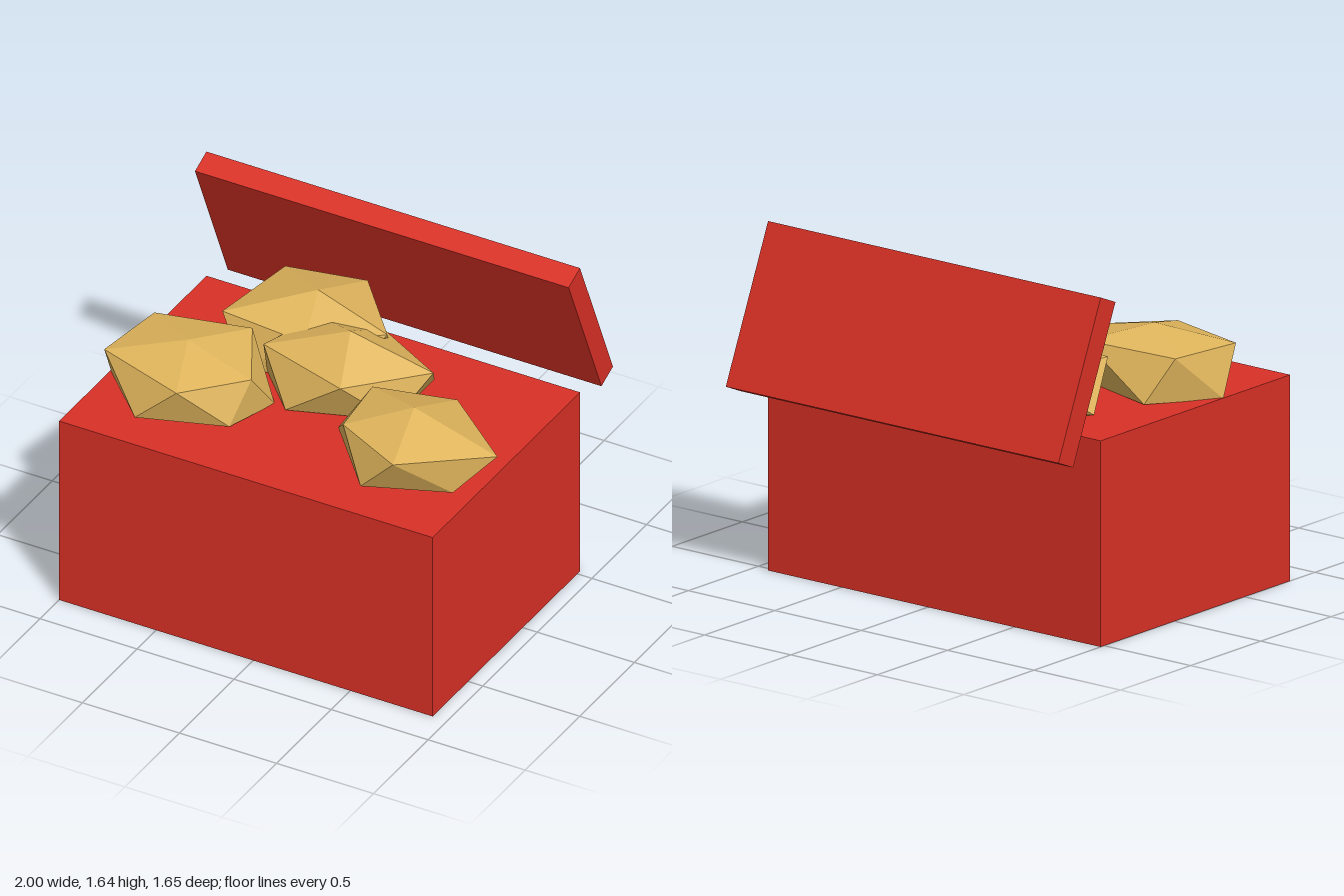
import * as THREE from 'three';

const red = new THREE.MeshStandardMaterial({ name: 'red', color: 0xd93025 });
const gold = new THREE.MeshStandardMaterial({ name: 'gold', color: 0xdfb45b, flatShading: true });

// Squashed, irregular icosahedron: an apex, two staggered rings of five and a base point.
// Rings run clockwise seen from above; lower[i] sits between upper[i] and upper[i + 1].
function createNugget(name, top, upper, lower, bottom) {
  const corners = [];
  for (let i = 0; i < 5; i++) {
    const j = (i + 1) % 5;
    corners.push(top, upper[j], upper[i]);
    corners.push(upper[i], upper[j], lower[i]);
    corners.push(lower[i], upper[j], lower[j]);
    corners.push(bottom, lower[i], lower[j]);
  }
  const geometry = new THREE.BufferGeometry();
  geometry.setAttribute('position', new THREE.Float32BufferAttribute(corners.flat(), 3));
  geometry.computeVertexNormals();
  const mesh = new THREE.Mesh(geometry, gold);
  mesh.name = name;
  return mesh;
}

export function createModel() {
  const model = new THREE.Group();
  model.name = 'treasureBox';

  // Solid box body
  const body = new THREE.Mesh(new THREE.BoxGeometry(1.925, 0.965, 1.35), red);
  body.name = 'boxBody';
  body.position.set(-0.0375, 0.4825, 0.15);
  model.add(body);

  // Open lid, leaning forward behind the box
  const lid = new THREE.Mesh(new THREE.BoxGeometry(1.925, 0.768, 0.114), red);
  lid.name = 'lid';
  lid.position.set(-0.0375, 1.26, -0.6225);
  lid.rotation.x = 0.403;
  model.add(lid);

  // Gold nuggets, partly sunk into the top
  model.add(createNugget('frontRightNugget', [-0.61, 1.25, 0.34],
    [[-0.26, 1.17, 0.38], [-0.5, 1.17, 0.64], [-0.95, 1.18, 0.5], [-0.9, 1.18, 0.13], [-0.44, 1.2, 0.05]],
    [[-0.3, 0.98, 0.51], [-0.7, 0.99, 0.665], [-0.995, 0.96, 0.355], [-0.8, 0.97, 0.03], [-0.23, 0.96, 0.22]],
    [-0.6, 0.89, 0.36]));

  model.add(createNugget('frontLeftNugget', [0.56, 1.27, 0.345],
    [[0.997, 1.155, 0.36], [0.635, 1.175, 0.675], [0.28, 1.176, 0.5], [0.24, 1.17, 0.16], [0.6, 1.135, 0.02]],
    [[0.84, 0.985, 0.49], [0.46, 0.995, 0.66], [0.143, 1.0, 0.3], [0.43, 0.97, 0.1], [0.84, 0.97, 0.225]],
    [0.54, 0.88, 0.33]));

  model.add(createNugget('centreNugget', [0.015, 1.28, -0.04],
    [[0.415, 1.155, -0.09], [0.12, 1.165, 0.24], [-0.355, 1.17, 0.1], [-0.25, 1.17, -0.22], [0.025, 1.135, -0.32]],
    [[0.31, 0.97, 0.09], [-0.155, 0.97, 0.255], [-0.38, 0.97, 0.02], [-0.08, 0.97, -0.3], [0.315, 0.98, -0.275]],
    [0.03, 0.88, -0.03]));

  model.add(createNugget('backNugget', [-0.275, 1.28, -0.26],
    [[0.115, 1.2, -0.2], [-0.2, 1.17, 0.0], [-0.64, 1.18, -0.03], [-0.58, 1.17, -0.5], [-0.2, 1.17, -0.58]],
    [[-0.03, 0.97, -0.03], [-0.49, 0.97, 0.05], [-0.73, 0.97, -0.24], [-0.38, 0.985, -0.565], [0.04, 0.965, -0.37]],
    [-0.29, 0.88, -0.27]));

  return model;
}
